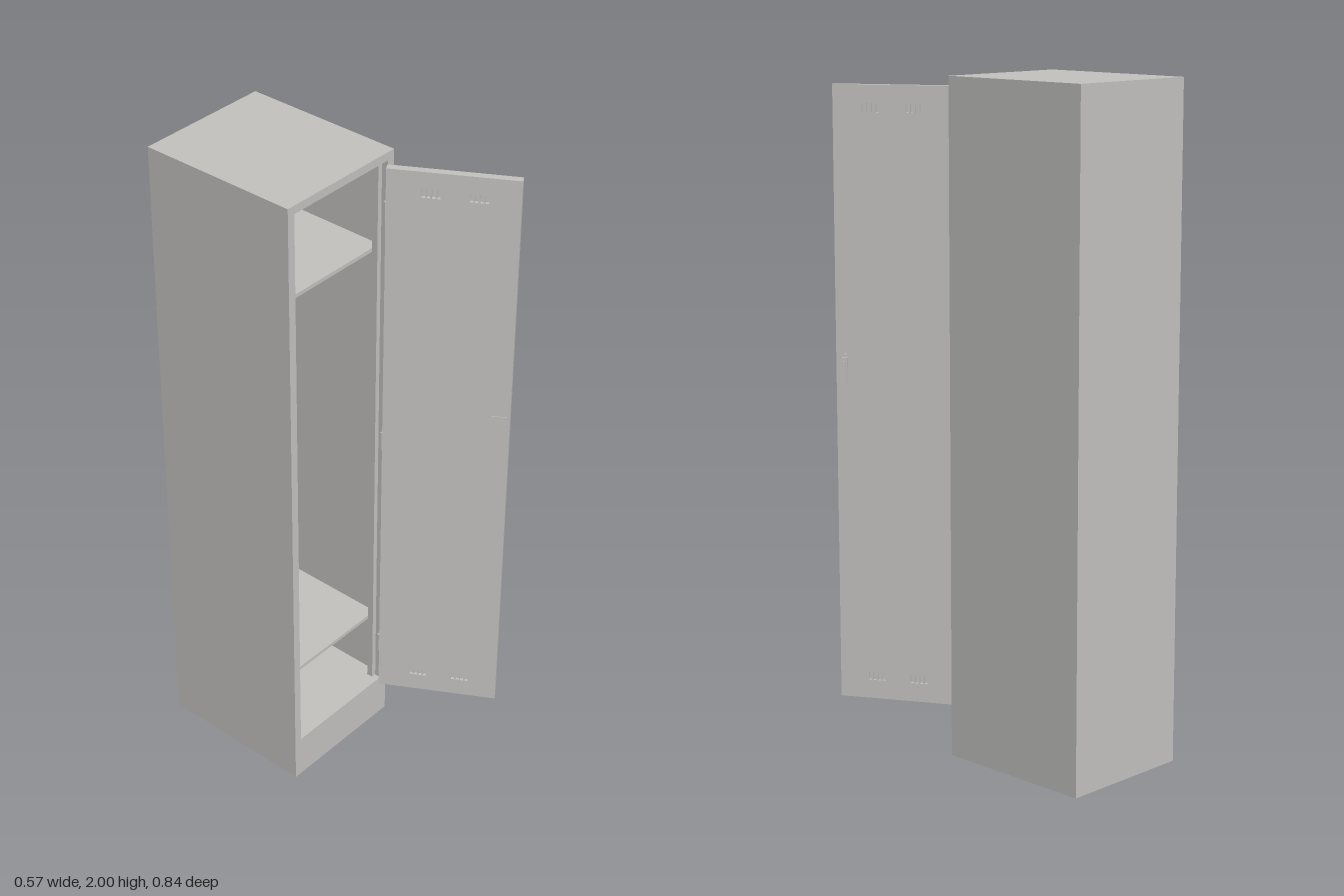
import * as THREE from 'three';

const paint = new THREE.MeshStandardMaterial({ color: 0xc4c3c0 });
paint.name = 'grey paint';

const L = -0.285, R = 0.137, BACK = -0.418, FRONT = 0.083, H = 2, T = 0.01;

function add(parent, name, geometry) {
  const mesh = new THREE.Mesh(geometry, paint);
  mesh.name = name;
  parent.add(mesh);
  return mesh;
}

// Box given by its minimum and maximum corners
function block(parent, name, x0, x1, y0, y1, z0, z1) {
  const g = new THREE.BoxGeometry(x1 - x0, y1 - y0, z1 - z0);
  g.translate((x0 + x1) / 2, (y0 + y1) / 2, (z0 + z1) / 2);
  return add(parent, name, g);
}

function rect(Kind, x0, x1, y0, y1) {
  return new Kind([[x0, y0], [x1, y0], [x1, y1], [x0, y1]].map(p => new THREE.Vector2(...p)));
}

// Flat plate with rectangular holes, running from z0 to z1
function plate(parent, name, outline, holes, z0, z1) {
  const shape = rect(THREE.Shape, ...outline);
  holes.forEach(h => shape.holes.push(rect(THREE.Path, ...h)));
  const g = new THREE.ExtrudeGeometry(shape, { depth: z1 - z0, bevelEnabled: false });
  g.translate(0, 0, z0);
  return add(parent, name, g);
}

function buildCabinet() {
  const cabinet = new THREE.Group();
  cabinet.name = 'cabinet';
  const back = FRONT - 0.02;

  // Outer shell
  block(cabinet, 'leftWall', R - T, R, 0, H, BACK, back);
  block(cabinet, 'rightWall', L, L + T, 0, H, BACK, back);
  block(cabinet, 'backWall', L + T, R - T, 0, H, BACK, BACK + T);
  block(cabinet, 'roof', L + T, R - T, H - T, H, BACK + T, back);
  block(cabinet, 'base', L + T, R - T, 0, T, BACK + T, back);

  // Front frame with plinth, and the door stop behind it
  plate(cabinet, 'frontFrame', [L, R, 0, H], [[-0.26, 0.112, 0.14, 1.975]], back, FRONT);
  plate(cabinet, 'doorStop', [L + T, R - T, T, H - T], [[-0.245, 0.097, 0.14, 1.96]], back - 0.02, back);

  // Floor and shelves
  const levels = { floor: 0.14, lowerShelf: 0.38, upperShelf: 1.695 };
  for (const [name, y] of Object.entries(levels)) {
    block(cabinet, name, L + T, R - T, y - 0.012, y, BACK + T, back - 0.02);
  }

  // Coat rail under the upper shelf
  const rail = new THREE.CylinderGeometry(0.009, 0.009, R - L - 2 * T, 16);
  rail.rotateZ(Math.PI / 2);
  add(cabinet, 'coatRail', rail).position.set((L + R) / 2, 1.615, -0.17);
  return cabinet;
}

function buildDoor() {
  const door = new THREE.Group();
  door.name = 'door';
  const W = 0.365, D = 0.022;

  // Panel with four groups of vent slots, closed in the middle of the sheet
  const slots = [];
  for (const x of [-0.122, -0.252]) {
    for (const y of [0.215, 1.905]) {
      for (let i = 0; i < 4; i++) {
        const cx = x + (i - 1.5) * 0.014;
        slots.push([cx - 0.005, cx + 0.005, y - 0.013, y + 0.013]);
      }
      block(door, 'ventBacking', x - 0.03, x + 0.03, y - 0.016, y + 0.016, -D / 2 - 0.002, -D / 2 + 0.002);
    }
  }
  plate(door, 'doorPanel', [-W, 0, 0.145, 1.97], slots, -D, 0);

  // Outside handle with its small lock button, and the inside latch cover
  block(door, 'handle', -0.347, -0.33, 1.1, 1.18, 0, 0.006);
  block(door, 'handleGrip', -0.343, -0.334, 1.105, 1.17, 0.006, 0.01);
  const button = new THREE.CylinderGeometry(0.005, 0.005, 0.006, 16);
  button.rotateX(Math.PI / 2);
  add(door, 'lockButton', button).position.set(-0.3385, 1.187, 0.003);
  block(door, 'latchCover', -0.357, -0.313, 1.085, 1.21, -D - 0.002, -D);

  // Swung open about the hinge line
  door.position.set(0.102, 0, 0.09);
  door.rotation.y = Math.PI * 2 / 3;
  return door;
}

function buildHinges() {
  const hinges = new THREE.Group();
  hinges.name = 'hinges';
  for (const y of [0.295, 1.06, 1.825]) {
    // Three stacked knuckles and a leaf on the frame
    for (const i of [-1, 0, 1]) {
      add(hinges, 'hingeKnuckle', new THREE.CylinderGeometry(0.004, 0.004, 0.02, 16))
        .position.set(0.107, y + i * 0.021, 0.087);
    }
    block(hinges, 'hingeLeaf', 0.098, 0.11, y - 0.031, y + 0.031, FRONT - 0.002, FRONT + 0.004);
  }
  return hinges;
}

export function createModel() {
  const locker = new THREE.Group();
  locker.name = 'locker';
  locker.add(buildCabinet(), buildDoor(), buildHinges());
  return locker;
}
